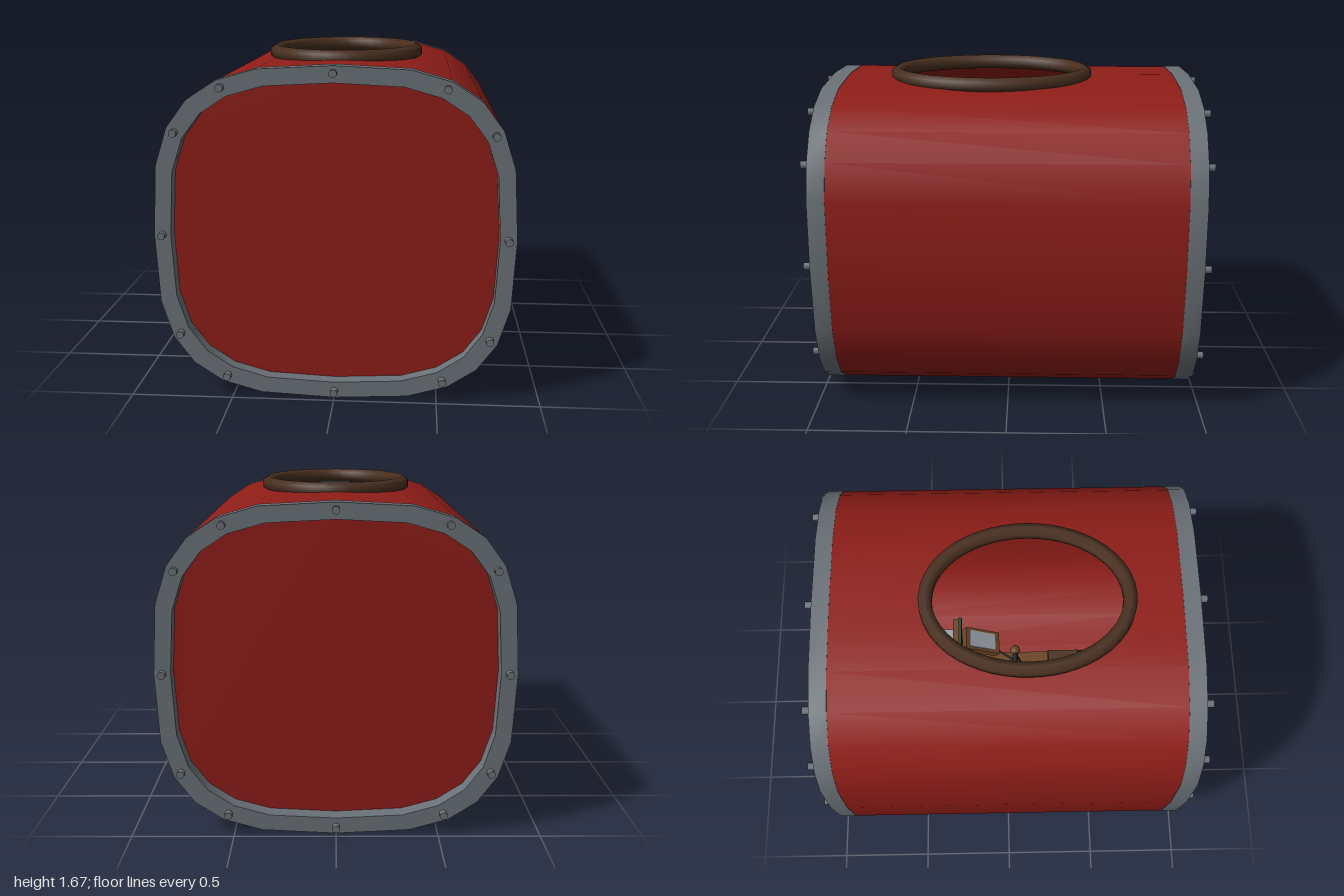
import * as THREE from 'three';
import { toCreasedNormals } from 'three/addons/utils/BufferGeometryUtils.js';

const P = 0.65;             // superellipse power of the cross-section
const N = 2 / P;
const CY = 0.815;           // height of the hull axis
const A = 0.863, B = 0.813; // hull half-width and half-height
const SIDES = 24;
const STEP = Math.PI * 2 / SIDES;
const RING_Z = 0.876;       // where the end rings begin

const paint = (color, extra = {}) => new THREE.MeshStandardMaterial({ color, ...extra });
const red = paint(0x8f1d18, { side: THREE.DoubleSide });
const steel = paint(0x6b7278);
const leather = paint(0x4a3020);
const seatLeather = paint(0x4a3020, { flatShading: true });
const wood = paint(0x6b4423);
const black = paint(0x1a1a1c);
const green = paint(0x1f4a35);
const glass = paint(0x9aa0a8);

const spow = (v) => Math.sign(v) * Math.abs(v) ** P;
const section = (a, b, t) => new THREE.Vector2(a * spow(Math.cos(t)), b * spow(Math.sin(t)));
const outline = (a, b) => Array.from({ length: SIDES }, (_, i) => section(a, b, i * STEP));

function add(parent, name, geometry, material, x = 0, y = 0, z = 0) {
  const mesh = new THREE.Mesh(geometry, material);
  mesh.name = name;
  mesh.position.set(x, y, z);
  parent.add(mesh);
  return mesh;
}

// Cylinder running between two points
function rod(parent, name, from, to, radius, material) {
  const a = new THREE.Vector3(...from), b = new THREE.Vector3(...to);
  const mesh = add(parent, name, new THREE.CylinderGeometry(radius, radius, a.distanceTo(b), 12), material);
  mesh.position.copy(a).add(b).multiplyScalar(0.5);
  mesh.quaternion.setFromUnitVectors(new THREE.Vector3(0, 1, 0), b.sub(a).normalize());
}

// Smooth patch of the hull; fn(u, v) returns [x, y from axis, z]
function hullPatch(nu, nv, fn) {
  const positions = [], normals = [], index = [];
  for (let j = 0; j <= nv; j++) {
    for (let i = 0; i <= nu; i++) {
      const [x, y, z] = fn(i / nu, j / nv);
      const n = new THREE.Vector3(
        Math.sign(x) * Math.abs(x / A) ** (N - 1) / A,
        Math.sign(y) * Math.abs(y / B) ** (N - 1) / B, 0).normalize();
      positions.push(x, y + CY, z);
      normals.push(n.x, n.y, n.z);
      if (i < nu && j < nv) {
        const a = j * (nu + 1) + i, d = a + nu + 1;
        index.push(a, a + 1, d + 1, a, d + 1, d);
      }
    }
  }
  const g = new THREE.BufferGeometry();
  g.setAttribute('position', new THREE.Float32BufferAttribute(positions, 3));
  g.setAttribute('normal', new THREE.Float32BufferAttribute(normals, 3));
  g.setIndex(index);
  return g;
}

// Hull: shell open along the top, closed by roof pieces around an oval opening
function buildHull(root) {
  const hull = new THREE.Group();
  hull.name = 'hull';
  root.add(hull);
  const hatchZ = 0.105, shoulder = section(A, B, 5 * STEP);
  add(hull, 'hullShell', hullPatch(SIDES - 2, 1, (u, v) => {
    const p = section(A, B, (7 + u * (SIDES - 2)) * STEP);
    return [p.x, p.y, (v * 2 - 1) * RING_Z];
  }), red);
  for (const side of [1, -1]) {
    add(hull, side > 0 ? 'frontRoof' : 'backRoof', hullPatch(32, 1, (u, v) => {
      const c = Math.cos(Math.PI * u), s = Math.sin(Math.PI * u);
      return [
        side * shoulder.x * c,
        THREE.MathUtils.lerp(B, shoulder.y, Math.abs(c)),
        THREE.MathUtils.lerp(hatchZ + side * 0.5 * s, side * RING_Z, v)];
    }), red);
  }

  // Padded rim around the opening
  const oval = Array.from({ length: 48 }, (_, i) => {
    const t = (i / 48) * Math.PI * 2;
    return new THREE.Vector3(0.372 * Math.cos(t), 0, 0.508 * Math.sin(t));
  });
  const path = new THREE.CatmullRomCurve3(oval, true);
  add(hull, 'hatchRim', new THREE.TubeGeometry(path, 48, 0.039, 6, true), leather, 0, 1.633, hatchZ);
}

// End plates, steel end rings and their bolts
function buildEnds(root) {
  const ring = new THREE.Shape(outline(0.865, CY));
  ring.holes.push(new THREE.Path(outline(0.785, 0.735)));
  const ringGeometry = toCreasedNormals(
    new THREE.ExtrudeGeometry(ring, { depth: 0.088, bevelEnabled: false }), 0.7);
  const plateGeometry = new THREE.ShapeGeometry(new THREE.Shape(outline(0.82, 0.77)));
  const boltGeometry = new THREE.CylinderGeometry(0.019, 0.019, 0.06, 10).rotateX(Math.PI / 2);
  for (const side of [1, -1]) {
    const end = new THREE.Group();
    end.name = side > 0 ? 'frontEnd' : 'backEnd';
    end.position.y = CY;
    end.rotation.y = side > 0 ? 0 : Math.PI;
    root.add(end);
    add(end, 'endRing', ringGeometry, steel, 0, 0, RING_Z);
    add(end, 'endPlate', plateGeometry, red, 0, 0, side > 0 ? 0.895 : 0.88);
    for (let i = 0; i < 12; i++) {
      const p = section(0.825, 0.78, (i / 12) * Math.PI * 2);
      add(end, 'bolt', boltGeometry, steel, p.x, p.y, 0.97);
    }
  }
}

// Seat block whose top is narrower and slopes down at the rear
function seatGeometry() {
  const g = new THREE.BoxGeometry(0.4, 0.1, 0.245);
  const pos = g.attributes.position;
  for (let i = 0; i < pos.count; i++) {
    if (pos.getY(i) < 0) continue;
    if (pos.getZ(i) > 0) pos.setZ(i, 0.055);
    pos.setX(i, pos.getX(i) * 0.84);
  }
  return g;
}

// Cabin seen through the opening
function buildCabin(root) {
  const cabin = new THREE.Group();
  cabin.name = 'cabin';
  root.add(cabin);
  const box = (name, w, h, d, material, x, y, z) =>
    add(cabin, name, new THREE.BoxGeometry(w, h, d), material, x, y, z);

  for (const x of [-0.19, 0, 0.19]) box('floorPlank', 0.155, 0.03, 0.95, wood, x, 0.12, 0.15);

  box('seatBase', 0.34, 0.2, 0.22, wood, 0, 0.23, 0.38);
  add(cabin, 'seat', seatGeometry(), seatLeather, 0, 0.38, 0.383);
  box('seatRail', 0.36, 0.05, 0.04, leather, 0, 0.16, 0.54);

  // Dashboard
  box('dashboard', 0.54, 0.32, 0.04, wood, 0, 0.55, -0.29);
  box('dashboardTrim', 0.54, 0.03, 0.018, green, 0, 0.72, -0.268);
  box('dashboardGauge', 0.08, 0.06, 0.03, black, 0, 0.72, -0.295);
  box('rearPanel', 0.42, 0.04, 0.07, glass, 0, 0.68, -0.345);

  // Tilted displays, handlebar grips and braces
  for (const side of [-1, 1]) {
    const display = new THREE.Group();
    display.name = 'display';
    display.position.set(side * 0.16, 0.62, -0.148);
    display.rotation.x = 0.5;
    cabin.add(display);
    add(display, 'displayFrame', new THREE.BoxGeometry(0.135, 0.05, 0.22), wood);
    add(display, 'displayGlass', new THREE.BoxGeometry(0.1, 0.02, 0.17), glass, 0, 0.02, -0.005);
    rod(cabin, 'displayStrut', [side * 0.125, 0.56, -0.05], [side * 0.06, 0.54, 0.06], 0.006, black);
    rod(cabin, 'handlebarBrace', [side * 0.1, 0.56, 0.06], [side * 0.01, 0.36, 0.15], 0.005, black);
    add(cabin, 'grip', new THREE.SphereGeometry(0.03, 16, 12), wood, side * 0.125, 0.56, 0.055);
  }

  // Steering column and handlebar
  rod(cabin, 'steeringColumn', [0, 0.13, 0.16], [0, 0.56, 0.055], 0.021, black);
  rod(cabin, 'handlebar', [-0.1, 0.56, 0.055], [0.1, 0.56, 0.055], 0.016, black);

  // Canister beside the seat
  add(cabin, 'canister', new THREE.CylinderGeometry(0.085, 0.085, 0.35, 20), black, -0.3, 0.26, 0.34);
}

export function createModel() {
  const root = new THREE.Group();
  root.name = 'capsule';
  buildHull(root);
  buildEnds(root);
  buildCabin(root);
  return root;
}
